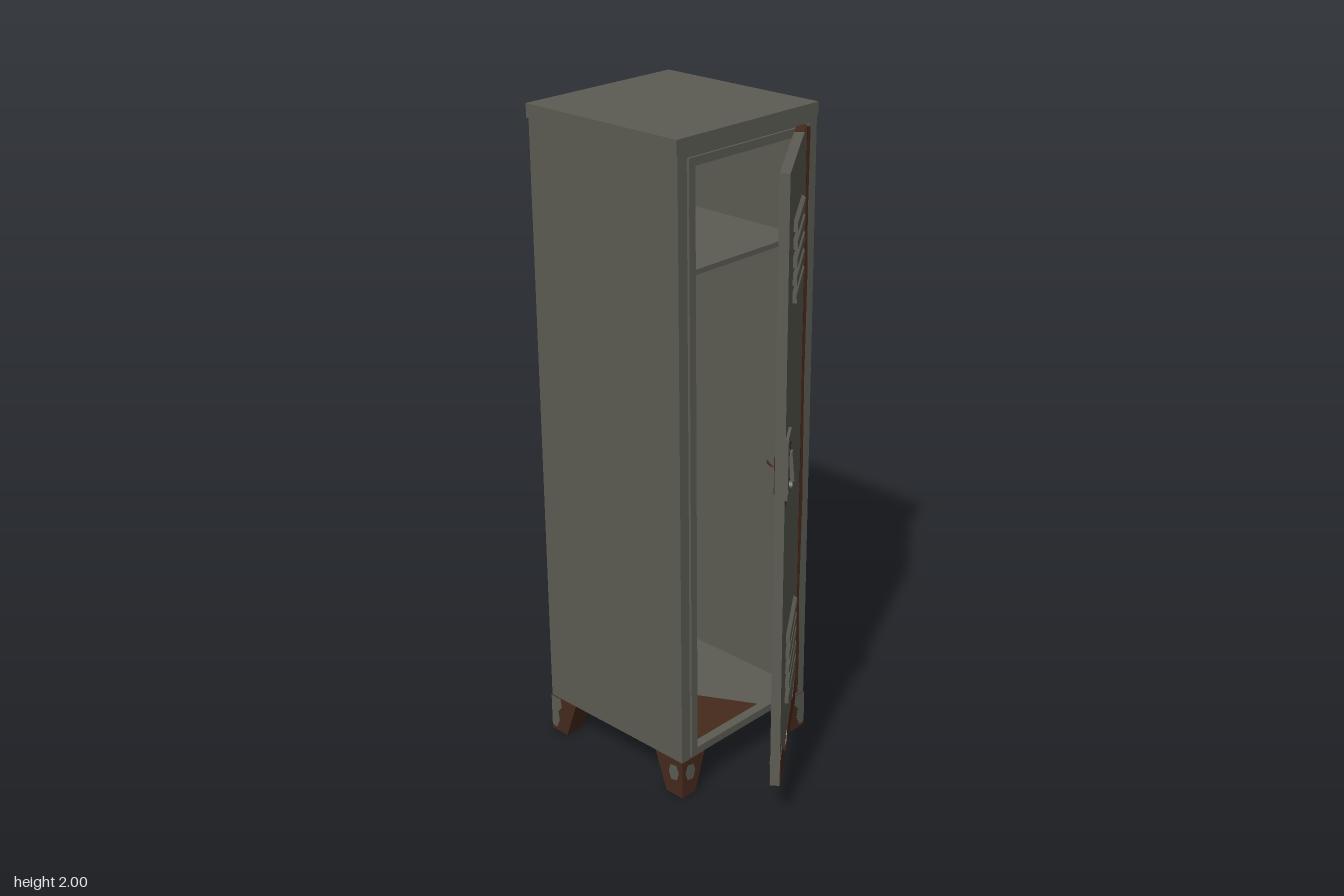
import * as THREE from 'three';

const paint = new THREE.MeshStandardMaterial({ color: 0x5c5c53 });
paint.name = 'greyPaint';
const rust = new THREE.MeshStandardMaterial({ color: 0x46291c });
rust.name = 'rust';
const dark = new THREE.MeshStandardMaterial({ color: 0x34332e });
dark.name = 'darkMetal';

function add(parent, name, geometry, material, x, y, z) {
  const mesh = new THREE.Mesh(geometry, material);
  mesh.name = name;
  mesh.position.set(x, y, z);
  parent.add(mesh);
  return mesh;
}

// box given by its minimum and maximum corners
function box(parent, name, material, [x0, y0, z0], [x1, y1, z1]) {
  return add(parent, name, new THREE.BoxGeometry(x1 - x0, y1 - y0, z1 - z0), material,
    (x0 + x1) / 2, (y0 + y1) / 2, (z0 + z1) / 2);
}

// thin irregular plate facing +z before rotation
function patch(parent, name, material, points, x, y, z, ry = 0, rx = 0) {
  const shape = new THREE.Shape(points.map(([u, v]) => new THREE.Vector2(u, v)));
  const geometry = new THREE.ExtrudeGeometry(shape, { depth: 0.002, bevelEnabled: false });
  const mesh = add(parent, name, geometry, material, x, y, z);
  mesh.rotation.set(rx, ry, 0);
}

function frame(parent, name, [x0, y0, x1, y1], rim, depth, z) {
  const rect = (path, a, b, c, d) => path.moveTo(a, b).lineTo(c, b).lineTo(c, d).lineTo(a, d).closePath();
  const shape = rect(new THREE.Shape(), x0, y0, x1, y1);
  shape.holes.push(rect(new THREE.Path(), x0 + rim, y0 + rim, x1 - rim, y1 - rim));
  add(parent, name, new THREE.ExtrudeGeometry(shape, { depth, bevelEnabled: false }), paint, 0, 0, z);
}

function buildCabinet() {
  const g = new THREE.Group();
  g.name = 'cabinet';
  const X = 0.275, B = -0.43, F = 0.135, Y = 0.122;
  for (const s of [-1, 1]) {
    const a = s * X, b = s * (X - 0.012);
    box(g, 'sideWall', paint, [Math.min(a, b), Y, B], [Math.max(a, b), 1.965, F]);
    const c = s * (X - 0.034);
    box(g, 'backCornerStrip', paint, [Math.min(a, c), Y, B], [Math.max(a, c), 1.965, B + 0.014]);
    box(g, 'frontStile', paint, [Math.min(a, c), Y, F - 0.02], [Math.max(a, c), 1.965, F]);
  }
  box(g, 'backWall', paint, [-X + 0.01, Y, B + 0.007], [X - 0.01, 1.965, B + 0.016]);
  box(g, 'floor', paint, [-X + 0.01, Y, B + 0.01], [X - 0.01, 0.14, F - 0.002]);
  box(g, 'topRail', paint, [-0.245, 1.935, F - 0.02], [0.245, 1.965, F]);
  box(g, 'shelf', paint, [-0.264, 1.6, B + 0.016], [0.264, 1.615, 0.09]);
  box(g, 'lid', paint, [-0.28, 1.96, -0.434], [0.278, 2, 0.137]);
  frame(g, 'doorFrame', [-0.24, 0.13, 0.24, 1.945], 0.024, 0.03, 0.112);

  // rust inside, on the hinge side of the frame and underneath
  patch(g, 'backWallRust', rust, [[-0.26, 0.14], [0.2, 0.14], [0.12, 0.3], [-0.02, 0.26], [-0.1, 0.5], [-0.17, 0.8],
    [-0.14, 1.1], [-0.18, 1.3], [-0.17, 1.5], [-0.2, 1.56], [-0.26, 1.5]], 0, 0, B + 0.016);
  patch(g, 'upperBackRust', rust, [[-0.26, 1.8], [-0.2, 1.82], [-0.17, 1.87], [-0.18, 1.95], [-0.26, 1.95]], 0, 0, B + 0.016);
  patch(g, 'frameRust', rust, [[0.216, 0.14], [0.238, 0.14], [0.24, 0.3], [0.235, 0.5], [0.24, 0.8], [0.236, 1.2],
    [0.24, 1.5], [0.236, 1.7], [0.24, 1.94], [0.216, 1.94]], 0, 0, 0.141);
  patch(g, 'floorRust', rust, [[-0.26, -0.1], [0.1, -0.1], [0.02, 0.05], [-0.06, 0.2], [-0.14, 0.3], [-0.26, 0.38]],
    0, 0.139, 0, 0, -Math.PI / 2);
  for (const sx of [-1, 1]) for (const sz of [-1, 1]) {
    const points = [[0, 0], [0.15, 0], [0.13, 0.05], [0.14, 0.09], [0.07, 0.12], [0.05, 0.15], [0, 0.16]]
      .map(([u, v]) => [u * -sx, v * -sz]);
    patch(g, 'undersideRust', rust, points, sx * 0.265, Y + 0.001, sz > 0 ? 0.13 : -0.42, 0, Math.PI / 2);
  }
  return g;
}

// tapered corner foot: rusty, with remains of paint on its outer faces
function buildFoot(sx, sz) {
  const g = new THREE.Group();
  g.name = 'foot';
  const w = 0.096, h = 0.122, d = 0.11;
  const geometry = new THREE.BoxGeometry(w, h, d);
  const p = geometry.attributes.position;
  for (let i = 0; i < p.count; i++) {
    if (p.getY(i) > 0) continue;
    if (p.getX(i) * sx < 0) p.setX(i, sx * (w / 2 - 0.056));
    if (p.getZ(i) * sz < 0) p.setZ(i, sz * (d / 2 - 0.066));
  }
  geometry.computeVertexNormals();
  const ox = sx * 0.277, oz = sz > 0 ? 0.137 : -0.431;
  add(g, 'footBody', geometry, rust, ox - sx * w / 2, h / 2, oz - sz * d / 2);

  // u is measured from the outer corner inwards
  const small = [[0.022, 0.055], [0.045, 0.05], [0.055, 0.075], [0.048, 0.1], [0.025, 0.104], [0.014, 0.08]];
  const large = [[0, 0.015], [0.02, 0.01], [0.034, 0.04], [0.028, 0.07], [0.045, 0.09], [0.04, 0.12], [0, 0.12]];
  const flip = (points, s) => points.map(([u, v]) => [u * s, v]);
  patch(g, 'footPaint', paint, flip(sx > 0 ? large : small, -sx * sz), ox, 0, oz - sz * 0.001, sz > 0 ? 0 : Math.PI);
  patch(g, 'footPaint', paint, flip(sz < 0 ? large : small, sx * sz), ox - sx * 0.001, 0, oz, sx * Math.PI / 2);
  return g;
}

function buildDoor() {
  const g = new THREE.Group();
  g.name = 'door';
  const L = 0.485, T = 0.028, y0 = 0.127, y1 = 1.945;
  box(g, 'doorPanel', paint, [-L, y0, -T], [0, y1, 0]);

  // rust along the hinge edge, bottom and inner face
  box(g, 'hingeEdgeRust', rust, [-0.008, y0, -T - 0.001], [0.003, y1, 0.0015]);
  box(g, 'topEdgeRust', rust, [-0.075, y1 - 0.002, -T], [0, y1 + 0.002, 0]);
  patch(g, 'bottomRust', rust, [[-L, y0], [0, y0], [0, 0.185], [-0.05, 0.212], [-0.1, 0.187], [-0.15, 0.207],
    [-0.22, 0.195], [-0.28, 0.185], [-0.31, 0.155], [-0.345, 0.15], [-0.37, 0.18], [-0.41, 0.2], [-0.445, 0.237],
    [-L, 0.215]], 0, 0, 0);
  patch(g, 'innerBottomRust', rust, [[0, y0], [L, y0], [L, 0.2], [0.45, 0.22], [0.4, 0.18], [0.3, 0.17],
    [0.2, 0.2], [0.1, 0.18], [0, 0.19]], 0, 0, -T, Math.PI);
  patch(g, 'innerLatchRust', rust, [[0.42, 1.08], [0.44, 1.055], [L, 1.06], [L, 1.165], [0.43, 1.17], [0.425, 1.13]],
    0, 0, -T, Math.PI);

  // pressed louvres with a dark slot along the lower edge
  const profile = new THREE.Shape([[0, 0], [0.012, 0], [0.011, 0.023], [0, 0.03]].map(([u, v]) => new THREE.Vector2(u, v)));
  const slat = new THREE.ExtrudeGeometry(profile, { depth: 0.24, bevelEnabled: false });
  for (const base of [0.331, 1.561]) for (let i = 0; i < 5; i++) {
    const y = base + i * 0.049;
    add(g, 'louvre', slat, paint, -0.123, y, 0).rotation.y = -Math.PI / 2;
    box(g, 'louvreSlot', dark, [-0.36, y - 0.005, 0], [-0.126, y, 0.002]);
  }

  // latch plate, lever and lock
  const latch = new THREE.Group();
  latch.name = 'latch';
  latch.position.set(-0.444, 1.132, 0);
  g.add(latch);
  box(latch, 'latchPlate', paint, [-0.041, -0.09, 0], [0.045, 0.09, 0.008]);
  patch(latch, 'latchRecess', dark, [[-0.026, -0.06], [0.012, -0.06], [0.012, 0.065], [-0.026, 0.065]], 0, 0, 0.007);
  patch(latch, 'latchRust', rust, [[-0.028, 0.01], [-0.01, -0.01], [0.025, 0.02], [0.02, 0.06], [-0.015, 0.075]], 0, 0, 0.0075);
  patch(latch, 'latchRust', rust, [[-0.025, -0.075], [0.02, -0.07], [0.028, -0.035], [-0.01, -0.025]], 0, 0, 0.0075);
  patch(latch, 'rustDrip', rust, [[-0.025, -0.115], [0.005, -0.11], [0.012, -0.09], [-0.035, -0.09]], 0, 0, 0);
  box(latch, 'lever', paint, [-0.02, -0.04, 0.008], [-0.002, 0.045, 0.02]).rotation.x = -0.08;
  const lock = add(latch, 'lockBarrel', new THREE.CylinderGeometry(0.012, 0.012, 0.012, 12), paint, -0.01, -0.055, 0.012);
  lock.rotation.x = Math.PI / 2;

  // curved catch on the inner face
  const curve = new THREE.QuadraticBezierCurve3(new THREE.Vector3(-0.458, 1.13, -T),
    new THREE.Vector3(-0.456, 1.13, -T - 0.018), new THREE.Vector3(-0.425, 1.13, -T - 0.026));
  add(g, 'innerCatch', new THREE.TubeGeometry(curve, 8, 0.003, 6), rust, 0, 0, 0);

  g.position.set(0.224, 0, 0.143);
  g.rotation.y = 0.62;
  return g;
}

export function createModel() {
  const model = new THREE.Group();
  model.name = 'locker';
  model.add(buildCabinet(), buildDoor());
  for (const sx of [-1, 1]) for (const sz of [-1, 1]) model.add(buildFoot(sx, sz));
  return model;
}
